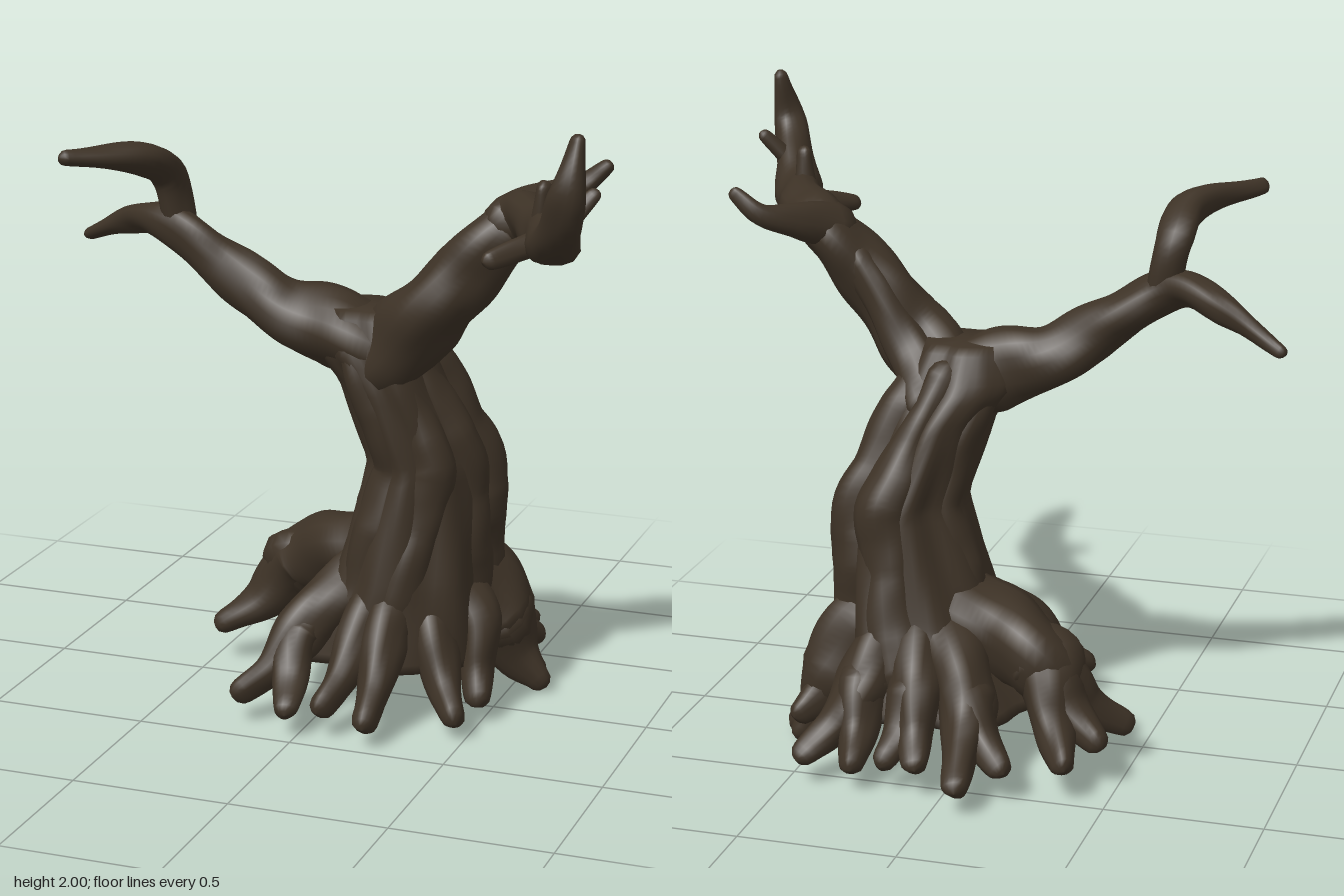
import * as THREE from 'three';

const { lerp } = THREE.MathUtils;
const bark = new THREE.MeshStandardMaterial({ color: 0x3d3226 });
bark.name = 'dark bark';

// Closed skin over rings of equal length, smooth all round
function skin(name, rings) {
  const n = rings[0].length, pos = [], index = [];
  rings.forEach(ring => ring.forEach(p => pos.push(p.x, p.y, p.z)));
  for (let i = 0; i < rings.length - 1; i++) {
    for (let j = 0; j < n; j++) {
      const a = i * n + j, b = i * n + (j + 1) % n;
      index.push(a, b, b + n, a, b + n, a + n);
    }
  }
  const geo = new THREE.BufferGeometry();
  geo.setAttribute('position', new THREE.Float32BufferAttribute(pos, 3));
  geo.setIndex(index);
  geo.computeVertexNormals();
  const mesh = new THREE.Mesh(geo, bark);
  mesh.name = name;
  return mesh;
}

// Tapering, slightly knotted limb through points [x, y, z, radius], with round ends
function limb(name, pts, knots = 0.08, sides = 16) {
  const curve = new THREE.CatmullRomCurve3(pts.map(p => new THREE.Vector3(p[0], p[1], p[2])));
  const length = curve.getLength();
  const n = Math.max(12, Math.round(length / 0.02));
  const frames = curve.computeFrenetFrames(n);
  const phase = pts[0][0] * 17 + pts[0][2] * 11;
  const rings = [];
  const addRing = (i, swell, push) => {
    const u = i / n;
    const t = curve.getUtoTmapping(u) * (pts.length - 1);
    const k = Math.min(Math.floor(t), pts.length - 2);
    const r = lerp(pts[k][3], pts[k + 1][3], t - k);
    const centre = curve.getPointAt(u).addScaledVector(frames.tangents[i], push * r);
    const ring = [];
    for (let j = 0; j < sides; j++) {
      const a = j / sides * Math.PI * 2, s = u * length;
      const lump = 1 + knots * (Math.sin(3 * a + phase + s * 7) + 0.8 * Math.sin(2 * a - s * 22 + phase));
      ring.push(centre.clone()
        .addScaledVector(frames.normals[i], Math.cos(a) * r * swell * lump)
        .addScaledVector(frames.binormals[i], Math.sin(a) * r * swell * lump));
    }
    rings.push(ring);
  };
  const caps = [90, 60, 30].map(d => d * Math.PI / 180);
  caps.forEach(a => addRing(0, Math.cos(a), -Math.sin(a)));
  for (let i = 0; i <= n; i++) addRing(i, 1, 0);
  caps.reverse().forEach(a => addRing(n, Math.cos(a), Math.sin(a)));
  return skin(name, rings);
}

// Trunk sections: height, centre x, centre z, half width, half depth
const sections = [
  [0.17, 0.13, -0.08, 0.34, 0.36], [0.43, 0.21, -0.06, 0.24, 0.3], [0.8, 0.26, -0.05, 0.18, 0.22],
  [1.06, 0.17, 0.01, 0.16, 0.19], [1.17, 0.11, 0.04, 0.19, 0.16], [1.3, 0.09, 0.05, 0.14, 0.11]
];

// Point on the trunk at a height and angle, at a fraction of its width
function trunkPoint(y, angle, fraction) {
  const k = Math.max(1, sections.findIndex(s => s[0] >= y));
  const low = sections[k - 1], high = sections[k];
  const [, cx, cz, rx, rz] = low.map((v, c) => lerp(v, high[c], (y - low[0]) / (high[0] - low[0])));
  return new THREE.Vector3(cx + Math.sin(angle) * rx * fraction, y, cz + Math.cos(angle) * rz * fraction);
}

// Fluted trunk, closed at both ends
function makeTrunk() {
  const rings = [], steps = 40, sides = 56;
  for (let i = -1; i <= steps + 1; i++) {
    const y = lerp(0.17, 1.3, THREE.MathUtils.clamp(i / steps, 0, 1));
    const open = i < 0 || i > steps ? 0 : 1;
    rings.push(Array.from({ length: sides }, (_, j) => {
      const a = j / sides * Math.PI * 2;
      const flute = 1 + 0.04 * Math.sin(7 * a + y * 3) + 0.035 * Math.sin(4 * a - y * 6) + 0.02 * Math.sin(11 * a + y * 9);
      return trunkPoint(y, a, open * flute);
    }));
  }
  return skin('trunk', rings);
}

// Strand winding down the trunk, thin at the top and knobbly below
function makeStrand(from, to, radius) {
  return limb('trunkStrand', Array.from({ length: 10 }, (_, i) => {
    const t = i / 9;
    const p = trunkPoint(lerp(1.2, 0.3, t), lerp(from, to, t), 0.74);
    const r = radius * (0.55 + 0.45 * Math.min(1, t * 2.5) + 0.1 * Math.sin(13 * t + from * 3));
    return [p.x, p.y, p.z, r];
  }), 0.05);
}

// Root arching out of the trunk to an elbow, then forking to tips [x, y, z]
function makeRoot(elbow, tips) {
  const group = new THREE.Group();
  group.name = 'root';
  const [ex, ey, ez, er] = elbow;
  const along = (t, radius) => [lerp(0.2, ex, t), lerp(0.47, ey, Math.pow(t, 1.8)), lerp(-0.06, ez, t), radius];
  tips.forEach(([x, y, z], i) => {
    const bend = [lerp(ex, x, 0.5), lerp(ey, y, 0.65), lerp(ez, z, 0.5), lerp(er, 0.042, 0.65)];
    const start = i === 0 ? [along(0.25, er * 1.15), along(0.65, er * 1.1)] : [along(0.85, er * 0.8)];
    group.add(limb('rootFork', [...start, elbow, bend, [x, y, z, 0.041]]));
  });
  return group;
}

function addGroup(parent, name, parts) {
  const group = new THREE.Group();
  group.name = name;
  group.add(...parts);
  parent.add(group);
}

export function createModel() {
  const tree = new THREE.Group();
  tree.name = 'bareTree';
  tree.add(makeTrunk());

  addGroup(tree, 'trunkStrands', [
    makeStrand(2.1, 2.0, 0.11), makeStrand(2.9, 3.0, 0.09), makeStrand(0.8, 0.1, 0.075),
    makeStrand(-0.3, -0.5, 0.08), makeStrand(-2.2, -1.6, 0.07), makeStrand(1.3, 1.5, 0.08)
  ]);

  // Branch on the model's left, bending forward and up, with twigs
  addGroup(tree, 'leftBranch', [
    limb('bough', [[0.13, 1.1, 0.05, 0.13], [0.3, 1.29, 0.13, 0.12], [0.47, 1.49, 0.12, 0.1], [0.6, 1.62, 0.11, 0.085], [0.68, 1.64, 0.21, 0.075],
      [0.81, 1.65, 0.48, 0.075], [0.9, 1.82, 0.65, 0.052], [0.92, 1.975, 0.63, 0.024]]),
    limb('boughRidge', [[0.18, 1.1, -0.05, 0.09], [0.28, 1.25, 0.03, 0.07], [0.46, 1.52, 0.07, 0.05]]),
    limb('backTwig', [[0.56, 1.61, 0.11, 0.08], [0.65, 1.66, -0.03, 0.05], [0.73, 1.69, -0.1, 0.035], [0.8, 1.75, -0.11, 0.022]]),
    limb('upperTwig', [[0.74, 1.64, 0.37, 0.04], [0.75, 1.78, 0.38, 0.025]]),
    limb('outerTwig', [[0.84, 1.69, 0.55, 0.04], [0.935, 1.8, 0.505, 0.02]]),
    limb('lowerTwig', [[0.74, 1.62, 0.38, 0.045], [0.635, 1.59, 0.52, 0.027]])
  ]);

  // Branch on the model's right, forked at its end
  addGroup(tree, 'rightBranch', [
    limb('bough', [[0.16, 1.15, 0.05, 0.13], [0, 1.21, 0.06, 0.125], [-0.18, 1.26, 0.06, 0.1], [-0.38, 1.395, 0.07, 0.078],
      [-0.57, 1.51, 0.06, 0.06], [-0.75, 1.48, -0.05, 0.044], [-0.94, 1.395, -0.15, 0.02]]),
    limb('upperFork', [[-0.53, 1.49, 0.06, 0.05], [-0.56, 1.66, 0.08, 0.06], [-0.58, 1.735, 0.2, 0.052], [-0.755, 1.765, 0.405, 0.025]])
  ]);

  addGroup(tree, 'roots', [
    // right side
    makeRoot([-0.23, 0.34, -0.21, 0.12], [[-0.46, 0.13, -0.11], [-0.36, 0.13, -0.47], [-0.43, 0.16, -0.34]]),
    // front
    makeRoot([-0.07, 0.26, 0.25, 0.08], [[-0.2, 0.11, 0.39], [-0.03, 0.1, 0.45]]),
    makeRoot([0.13, 0.26, 0.26, 0.07], [[0.08, 0.11, 0.42]]),
    makeRoot([0.22, 0.26, 0.27, 0.07], [[0.23, 0.09, 0.45]]),
    makeRoot([0.36, 0.24, 0.16, 0.07], [[0.46, 0.08, 0.29]]),
    // left side
    makeRoot([0.45, 0.3, 0.02, 0.075], [[0.49, 0.09, 0.13]]),
    makeRoot([0.45, 0.24, -0.2, 0.135], [[0.59, 0.045, -0.19], [0.55, 0.05, -0.27], [0.53, 0.14, -0.33]]),
    // back
    makeRoot([0.31, 0.27, -0.38, 0.09], [[0.44, 0.1, -0.56], [0.28, 0.1, -0.58]]),
    makeRoot([0.13, 0.26, -0.4, 0.085], [[0.08, 0.12, -0.57], [0.18, 0.11, -0.55]]),
    makeRoot([-0.03, 0.25, -0.38, 0.09], [[-0.08, 0.1, -0.665], [-0.175, 0.12, -0.53]])
  ]);
  return tree;
}
